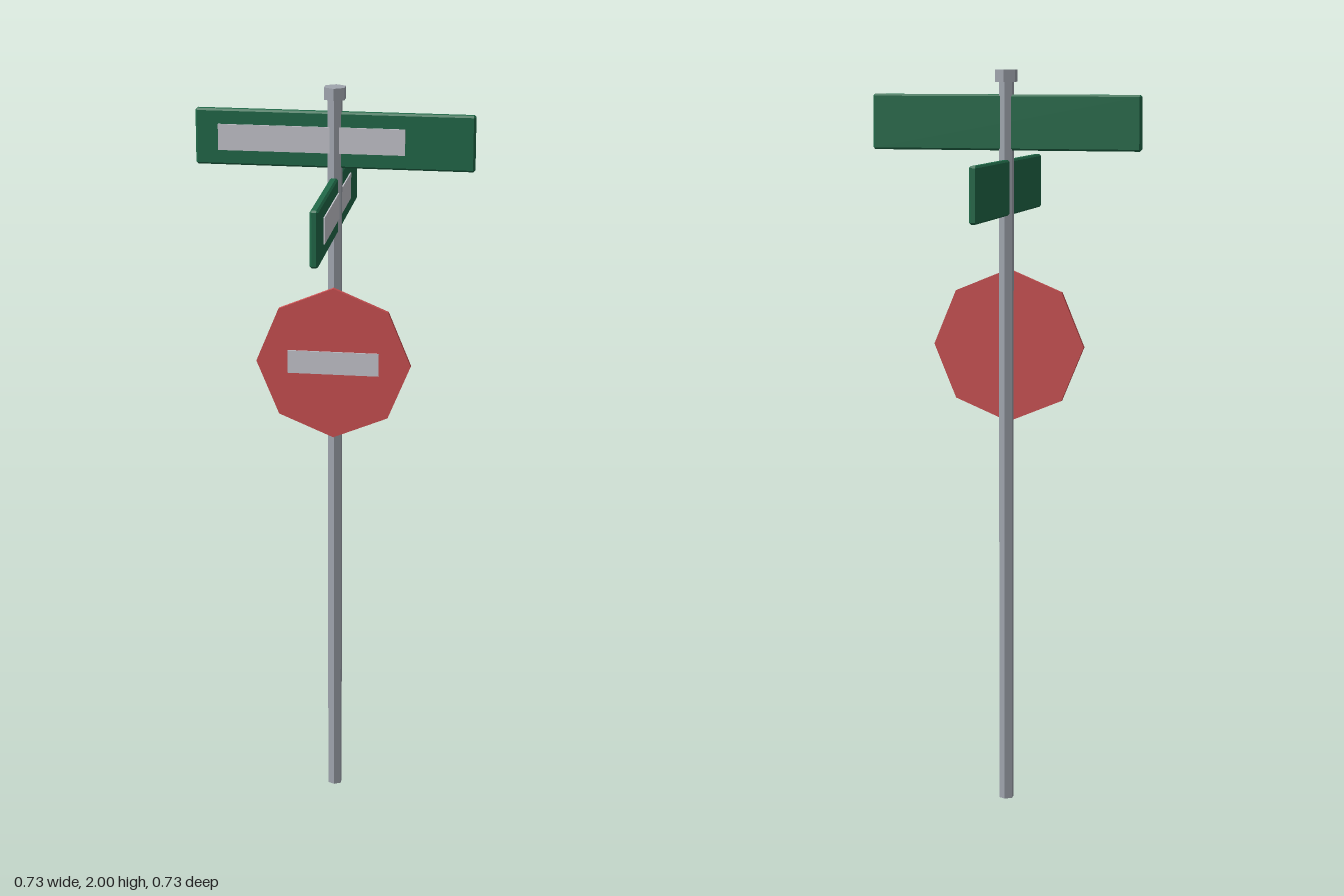
import * as THREE from 'three';
import { ConvexGeometry } from 'three/addons/geometries/ConvexGeometry.js';

const material = (name, color) => {
  const m = new THREE.MeshStandardMaterial({ color, flatShading: true });
  m.name = name;
  return m;
};

// Box with every edge cut at 45 degrees
function chamferedBox(w, h, d, c) {
  const points = [];
  for (const sx of [-0.5, 0.5]) for (const sy of [-0.5, 0.5]) for (const sz of [-0.5, 0.5]) {
    const corner = new THREE.Vector3(sx * w, sy * h, sz * d);
    for (let axis = 0; axis < 3; axis++) {
      const p = corner.clone();
      for (let i = 0; i < 3; i++) {
        if (i !== axis) p.setComponent(i, p.getComponent(i) - Math.sign(p.getComponent(i)) * c);
      }
      points.push(p);
    }
  }
  return new ConvexGeometry(points);
}

export function createModel() {
  const metal = material('galvanised metal', 0xa0a5ae);
  const green = material('sign green', 0x216a49);
  const red = material('sign red', 0xcb5152);
  const white = material('lettering panel white', 0xc8c8cf);

  const model = new THREE.Group();
  model.name = 'signPost';

  function add(parent, name, geometry, mat, x, y, z) {
    const mesh = new THREE.Mesh(geometry, mat);
    mesh.name = name;
    mesh.position.set(x, y, z);
    parent.add(mesh);
    return mesh;
  }

  // Hexagonal pole and its wider cap
  add(model, 'pole', new THREE.CylinderGeometry(0.0205, 0.0205, 1.98, 6), metal, 0, 0.99, 0);
  add(model, 'poleCap', new THREE.CylinderGeometry(0.031, 0.031, 0.032, 6), metal, 0, 1.984, 0);

  // Two crossed street blades, each with a pale panel on one face
  function streetBlade(name, y, panelX, turn) {
    const blade = new THREE.Group();
    blade.name = name;
    blade.position.y = y;
    blade.rotation.y = turn;
    add(blade, 'blade', chamferedBox(0.734, 0.148, 0.022, 0.005), green, 0, 0, -0.001);
    add(blade, 'bladePanel', new THREE.BoxGeometry(0.492, 0.069, 0.004), white, panelX, 0, 0.0115);
    model.add(blade);
  }
  streetBlade('upperStreetSign', 1.861, -0.061, 0);
  streetBlade('lowerStreetSign', 1.688, -0.03, Math.PI / 2);

  // Octagonal sign standing on one corner, with a pale bar
  const octagon = new THREE.CylinderGeometry(0.208, 0.208, 0.012, 8).rotateX(Math.PI / 2);
  add(model, 'octagonSign', octagon, red, 0, 1.26, 0.029);
  add(model, 'octagonBar', new THREE.BoxGeometry(0.245, 0.063, 0.004), white, 0, 1.262, 0.0365);

  return model;
}
